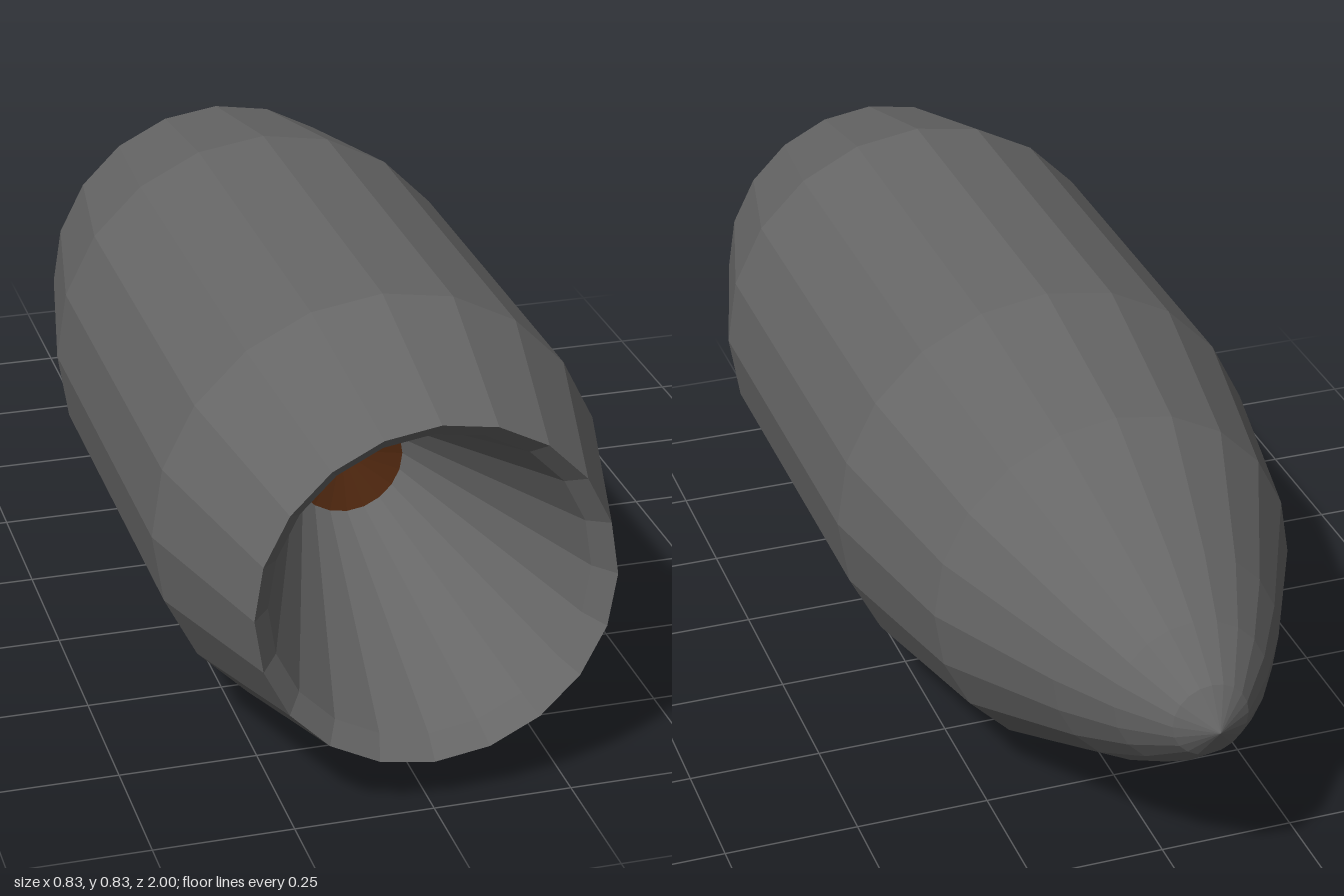
import * as THREE from 'three';

const SIDES = 20;
const AXIS_HEIGHT = 0.414;

// Revolves [radius, z] points around the z axis
function revolve(name, profile, color) {
  const points = profile.map(([r, z]) => new THREE.Vector2(r, z));
  const geometry = new THREE.LatheGeometry(points, SIDES);
  geometry.rotateX(Math.PI / 2);
  geometry.translate(0, AXIS_HEIGHT, 0);
  const material = new THREE.MeshStandardMaterial({ color, flatShading: true });
  const mesh = new THREE.Mesh(geometry, material);
  mesh.name = name;
  return mesh;
}

export function createModel() {
  const group = new THREE.Group();
  group.name = 'hollowProjectile';

  // Pointed nose, straight barrel and tapered tail
  group.add(revolve('shell', [
    [0, -1], [0.07, -0.955], [0.142, -0.865], [0.212, -0.75],
    [0.342, -0.485], [0.413, -0.12], [0.413, 0.66], [0.32, 1],
  ], 0x666666));

  // Bevelled rim and the funnel narrowing into the tail
  group.add(revolve('rim', [[0.32, 1], [0.286, 0.96]], 0x666666));
  group.add(revolve('funnel', [[0.286, 0.96], [0.104, 0.46]], 0x666666));

  // Shallow dished plug at the bottom of the funnel
  group.add(revolve('plug', [[0.104, 0.46], [0, 0.42]], 0x4f270f));

  return group;
}
